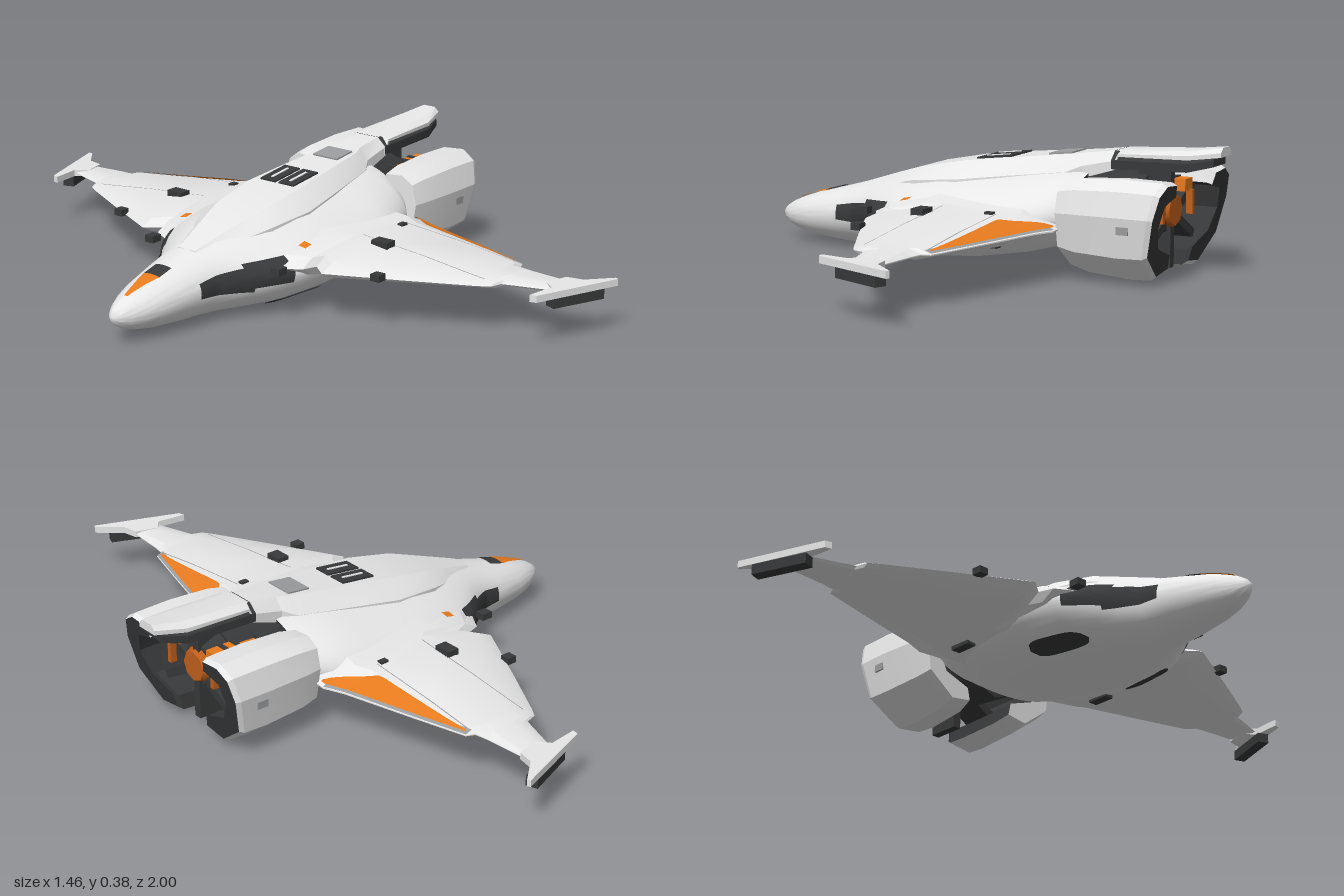
import * as THREE from 'three';
import { toCreasedNormals } from 'three/addons/utils/BufferGeometryUtils.js';

const make = (name, color, side = THREE.DoubleSide) => {
  const m = new THREE.MeshStandardMaterial({ color, side });
  m.name = name;
  return m;
};
const light = make('light grey hull', 0xf0f0f0, THREE.FrontSide);
const grey = make('mid grey trim', 0x9a9c9e);
const dark = make('dark metal', 0x38393a);
const orange = make('orange paint', 0xf08020);
const copper = make('engine copper', 0xc0601c);

// Linear lookup in a table whose first column is the key
function lookup(table, k) {
  let i = 0;
  while (i < table.length - 2 && k > table[i + 1][0]) i++;
  const a = table[i], b = table[i + 1];
  const u = THREE.MathUtils.clamp((k - a[0]) / (b[0] - a[0]), 0, 1);
  return a.map((v, j) => v + (b[j] - v) * u);
}

function meshOf(name, positions, mat, crease) {
  const g = new THREE.BufferGeometry();
  g.setAttribute('position', new THREE.Float32BufferAttribute(positions, 3));
  const m = new THREE.Mesh(toCreasedNormals(g, crease), mat);
  m.name = name;
  return m;
}

// Closed loft through rings of [x,y,z]; plane gives the two coordinates used to fill the ends
function loft(name, rings, plane, { crease = 0.6, matAt = () => light, endMat = light } = {}) {
  const tris = [], n = rings[0].length;
  for (let i = 0; i < rings.length - 1; i++) for (let j = 0; j < n; j++) {
    const k = (j + 1) % n, m = matAt(j);
    const [a, b, c, d] = [rings[i][j], rings[i][k], rings[i + 1][k], rings[i + 1][j]];
    tris.push([m, a, b, c], [m, a, c, d]);
  }
  [0, rings.length - 1].forEach((e, q) => {
    let ring = rings[e];
    const flat = r => r.map(p => new THREE.Vector2(p[plane[0]], p[plane[1]]));
    const ccw = THREE.ShapeUtils.area(flat(ring)) > 0;
    if (!ccw) ring = [...ring].reverse();
    for (const [a, b, c] of THREE.ShapeUtils.triangulateShape(flat(ring), [])) {
      const t = [ring[a], ring[b], ring[c]];
      if (ccw === (q === 0)) t.reverse();
      tris.push([q ? endMat : light, ...t]);
    }
  });
  let volume = 0;
  for (const [, a, b, c] of tris) {
    volume += new THREE.Vector3(...a).dot(new THREE.Vector3(...b).cross(new THREE.Vector3(...c)));
  }
  const byMat = new Map();
  for (const [m, a, b, c] of tris) {
    if (!byMat.has(m)) byMat.set(m, []);
    byMat.get(m).push(...(volume > 0 ? [a, b, c] : [a, c, b]).flat());
  }
  const group = new THREE.Group();
  group.name = name;
  byMat.forEach((p, m) => group.add(meshOf(name + ' ' + m.name, p, m, crease)));
  return group;
}
const ZY = [2, 1], XY = [0, 1], XZ = [0, 2];

// Thin painted skin sampled from f(u, v)
function skin(name, f, mat, nu = 10, nv = 6, flip = false) {
  const p = [];
  for (let i = 0; i < nu; i++) for (let j = 0; j < nv; j++) {
    const a = f(i / nu, j / nv), b = f((i + 1) / nu, j / nv);
    const c = f((i + 1) / nu, (j + 1) / nv), d = f(i / nu, (j + 1) / nv);
    p.push(...(flip ? [a, c, b, a, d, c] : [a, b, c, a, c, d]).flat());
  }
  return meshOf(name, p, mat, 0.8);
}

function box(name, mat, w, h, d, x, y, z, rz = 0) {
  const m = new THREE.Mesh(new THREE.BoxGeometry(w, h, d), mat);
  m.name = name;
  m.position.set(x, y, z);
  m.rotation.z = rz;
  return m;
}

// Hull stations: x, half width, top, bottom, height of widest line
const HULL = [
  [-0.73, 0.004, 0.086, 0.076, 0.081], [-0.715, 0.022, 0.102, 0.058, 0.08], [-0.69, 0.04, 0.118, 0.042, 0.081],
  [-0.65, 0.06, 0.135, 0.029, 0.085], [-0.6, 0.077, 0.152, 0.02, 0.09], [-0.5, 0.1, 0.178, 0.012, 0.1],
  [-0.42, 0.112, 0.2, 0.008, 0.11], [-0.36, 0.15, 0.218, 0.006, 0.12], [-0.3, 0.2, 0.235, 0.004, 0.13],
  [-0.22, 0.255, 0.257, 0.001, 0.14], [-0.1, 0.285, 0.28, 0.005, 0.147], [0, 0.29, 0.29, 0.014, 0.15],
  [0.15, 0.28, 0.298, 0.04, 0.16], [0.28, 0.25, 0.3, 0.075, 0.17], [0.34, 0.2, 0.295, 0.11, 0.175],
];
function hullPoint(x, t, lift = 0) {
  const [, w, top, bot, mid] = lookup(HULL, x);
  const { smoothstep } = THREE.MathUtils;
  const c = Math.cos(t), s = Math.sin(t);
  // the upper half pinches towards the wing amidships
  const p = s > 0 ? 1 + 0.5 * smoothstep(x, -0.42, -0.2) * (1 - 0.8 * smoothstep(x, 0.05, 0.3)) : 1;
  const bend = v => Math.sign(v) * Math.abs(v) ** p;
  return [x, mid + bend(s) * ((s > 0 ? top - mid : mid - bot) + lift), bend(c) * (w + lift)];
}

// Wing stations: z, leading x, trailing x, height, thickness up, thickness down
const WING = [
  [0.05, -0.36, 0.32, 0.15, 0.09, 0.08], [0.16, -0.305, 0.325, 0.15, 0.07, 0.068], [0.27, -0.24, 0.335, 0.15, 0.053, 0.055],
  [0.285, -0.195, 0.328, 0.15, 0.05, 0.052], [0.335, -0.235, 0.308, 0.15, 0.045, 0.045],
  [0.55, -0.125, 0.247, 0.147, 0.028, 0.027], [0.71, -0.04, 0.2, 0.145, 0.017, 0.016],
  [0.72, -0.035, 0.175, 0.145, 0.016, 0.015], [0.75, -0.015, 0.17, 0.145, 0.014, 0.014],
  [0.76, 0.02, 0.168, 0.145, 0.013, 0.013], [0.93, 0.075, 0.155, 0.145, 0.006, 0.006],
];
const FOIL = [[0, 0], [0.08, 0.45], [0.35, 1], [0.82, 0.88], [1, 0.02]];
function wingPoint(x, z, side, lift) {
  const [, le, te, y, up] = lookup(WING, z);
  return [x, y + up * lookup(FOIL, (x - le) / (te - le))[1] + lift, z * side];
}

function createSide(s) {
  const g = new THREE.Group();
  g.name = s > 0 ? 'left side' : 'right side';
  const onWing = (name, mat, z0, z1, xa, xb, lift, nu = 10) => g.add(skin(name, (u, v) => {
    const z = z0 + (z1 - z0) * u, a = xa(z), b = xb(z);
    return wingPoint(a + (b - a) * v, z, s, lift);
  }, mat, nu, 8, s < 0));

  // Wing
  g.add(loft('wing', WING.map(([z, le, te, y, up, dn]) => {
    const at = (f, h) => [le + (te - le) * f, y + h, z * s];
    return [...FOIL.map(([f, h]) => at(f, up * h)), ...FOIL.slice(1).reverse().map(([f, h]) => at(f, -dn * h - 0.002))];
  }), XY, { crease: 0.35 }));

  // Painted trailing edge
  const trail = z => lookup(WING, z)[2];
  onWing('trailing edge trim', grey, 0.27, 0.71, z => trail(z) - 0.022, z => trail(z), 0.003, 20);
  const inner = [[0.25, 0.318], [0.37, 0.212], [0.62, 0.196], [0.71, 0.188]];
  onWing('orange flap', orange, 0.25, 0.7, z => lookup(inner, z)[1], z => trail(z) - 0.008, 0.005, 27);

  // Panel seams, hatches and sensors
  onWing('wing seam', grey, 0.3, 0.72, () => -0.003, () => 0, 0.002);
  onWing('flap seam', grey, 0.32, 0.7, () => 0.18, () => 0.183, 0.002);
  onWing('orange marker', orange, 0.21, 0.235, () => -0.182, () => -0.155, 0.007);
  g.add(box('wing hatch', dark, 0.038, 0.03, 0.055, -0.02, 0.19, 0.385 * s));
  g.add(box('wing vent', dark, 0.025, 0.012, 0.018, 0.16, 0.192, 0.32 * s));
  g.add(box('leading edge sensor', dark, 0.03, 0.02, 0.03, -0.17, 0.155, 0.48 * s));
  g.add(box('shoulder sensor', dark, 0.035, 0.02, 0.03, -0.3, 0.155, 0.235 * s));
  g.add(box('underwing pod', dark, 0.07, 0.022, 0.03, 0.13, 0.1, 0.275 * s));

  // Wing tip vane with gun below
  const vane = [[-0.03, 0.885], [0.06, 0.897], [0.09, 0.86], [0.16, 0.88], [0.17, 0.93], [0.24, 0.99], [0.235, 1], [-0.025, 0.905]];
  g.add(loft('wing tip vane', [0.135, 0.155].map(y => vane.map(([x, z]) => [x, y, z * s])), XZ, { crease: 0.2 }));
  const gun = box('wing tip gun', dark, 0.17, 0.03, 0.035, 0.12, 0.12, 0.936 * s);
  gun.rotation.y = -0.37 * s;
  g.add(gun);

  // Dark intakes on the hull sides and the oval port on the belly
  const onHull = (name, x0, x1, range) => g.add(skin(name, (u, v) => {
    const [a, b] = range(u), p = hullPoint(x0 + (x1 - x0) * u, a + (b - a) * v, 0.005);
    return [p[0], p[1], p[2] * s];
  }, dark, 16, 8, s > 0));
  onHull('forward side intake', -0.48, -0.33, u => [-0.12 - 0.2 * u, 0.38]);
  onHull('rear side intake', -0.35, -0.24, () => [-0.22, 0.5]);
  onHull('belly port', -0.26, -0.065, u => {
    const h = 0.15 * Math.sqrt(Math.max(0, 1 - (2 * u - 1) ** 4));
    return [-0.85 - h, -0.85 + h];
  });

  // Engine half shell
  const C = [[0.06, 0.02], [0.14, 0.008], [0.242, 0.085], [0.262, 0.2], [0.245, 0.27], [0.2, 0.298], [0.13, 0.292],
    [0.12, 0.255], [0.19, 0.235], [0.205, 0.17], [0.17, 0.1], [0.07, 0.065]];
  const shellRing = (x, k, slant = 0) => C.map(([z, y]) => [x + slant * y, 0.18 + (y - 0.18) * k, (0.17 + (z - 0.17) * k) * s]);
  g.add(loft('engine shell', [shellRing(0.325, 0.84), shellRing(0.38, 0.94), shellRing(0.51, 1), shellRing(0.57, 0.98, 0.2), shellRing(0.585, 0.91, 0.2)],
    ZY, { crease: 0.3, matAt: j => (j < 7 ? light : dark), endMat: dark }));
  g.add(box('engine side port', grey, 0.035, 0.022, 0.006, 0.535, 0.165, 0.256 * s));

  // Engine pipework seen through the gap beside the spine
  g.add(box('engine pipe', orange, 0.08, 0.035, 0.05, 0.54, 0.25, 0.088 * s));
  g.add(box('engine feed line', orange, 0.09, 0.02, 0.014, 0.46, 0.25, 0.082 * s));
  for (const x of [0.42, 0.495, 0.535]) g.add(box('engine clamp', dark, 0.014, 0.05, 0.055, x, 0.246, 0.09 * s));
  g.add(box('engine inner plate', copper, 0.02, 0.07, 0.014, 0.58, 0.2, 0.1 * s));
  return g;
}

export function createModel() {
  const ship = new THREE.Group();
  ship.name = 'winged spacecraft';

  // Blended hull
  ship.add(loft('hull', HULL.map(([x]) => Array.from({ length: 48 }, (_, j) => hullPoint(x, j / 24 * Math.PI))), ZY, { crease: 0.9, endMat: dark }));

  // Raised dorsal spine: x, half width, top, bottom
  const ridge = ([x, w, top, bot]) => {
    const h = bot + (top - bot) * 0.5;
    return [[x, bot, w], [x, h, w], [x, top, w * 0.6], [x, top, -w * 0.6], [x, h, -w], [x, bot, -w]];
  };
  ship.add(loft('dorsal spine', [[-0.42, 0.05, 0.2, 0.15], [-0.3, 0.09, 0.238, 0.18], [-0.2, 0.13, 0.268, 0.2],
    [-0.05, 0.145, 0.297, 0.2], [0.1, 0.125, 0.315, 0.22], [0.28, 0.095, 0.335, 0.24], [0.32, 0.07, 0.34, 0.27],
    [0.42, 0.066, 0.353, 0.3], [0.43, 0.066, 0.354, 0.338], [0.64, 0.062, 0.366, 0.342], [0.73, 0.035, 0.378, 0.352]].map(ridge),
  ZY, { crease: 0.3 }));
  ship.add(loft('spine underside', [[0.41, 0.068, 0.352, 0.302], [0.64, 0.064, 0.357, 0.308], [0.71, 0.042, 0.364, 0.325]].map(ridge),
    ZY, { crease: 0.3, matAt: () => dark, endMat: dark }));

  // Spine details
  for (const z of [-0.034, 0.034]) {
    ship.add(box('spine vent', dark, 0.115, 0.008, 0.056, 0.035, 0.308, z, 0.12));
    ship.add(box('vent slat', light, 0.075, 0.009, 0.008, 0.035, 0.31, z, 0.12));
  }
  ship.add(box('spine hatch', grey, 0.075, 0.008, 0.09, 0.24, 0.331, 0, 0.11));

  // Nose paint
  const nosePaint = (name, mat, x0, x1, h0, h1) => ship.add(skin(name, (u, v) =>
    hullPoint(x0 + (x1 - x0) * u, Math.PI / 2 + (2 * v - 1) * (h0 + (h1 - h0) * u), 0.004), mat, 8, 8, true));
  nosePaint('nose stripe', orange, -0.67, -0.565, 0.12, 0.33);
  nosePaint('nose sensor', dark, -0.565, -0.515, 0.33, 0.29);

  // Engine core
  const drum = (name, mat, r0, r1, x0, x1, sides) => {
    const m = new THREE.Mesh(new THREE.CylinderGeometry(r1, r0, x1 - x0, sides), mat);
    m.name = name;
    m.rotation.z = -Math.PI / 2;
    m.position.set((x0 + x1) / 2, 0.19, 0);
    ship.add(m);
  };
  drum('engine core', dark, 0.12, 0.1, 0.3, 0.5, 8);
  drum('engine collar', dark, 0.09, 0.065, 0.5, 0.56, 8);
  drum('engine glow', copper, 0.055, 0.045, 0.56, 0.58, 8);

  // Radial struts joining core and shells
  for (let i = 0; i < 6; i++) {
    const a = (i + 0.5) * Math.PI / 3;
    const strut = box('engine strut', dark, 0.1, 0.025, 0.12, 0.52, 0.175 + Math.sin(a) * 0.09, Math.cos(a) * 0.11);
    strut.rotation.x = -a;
    ship.add(strut);
  }

  ship.add(createSide(1), createSide(-1));
  return ship;
}
